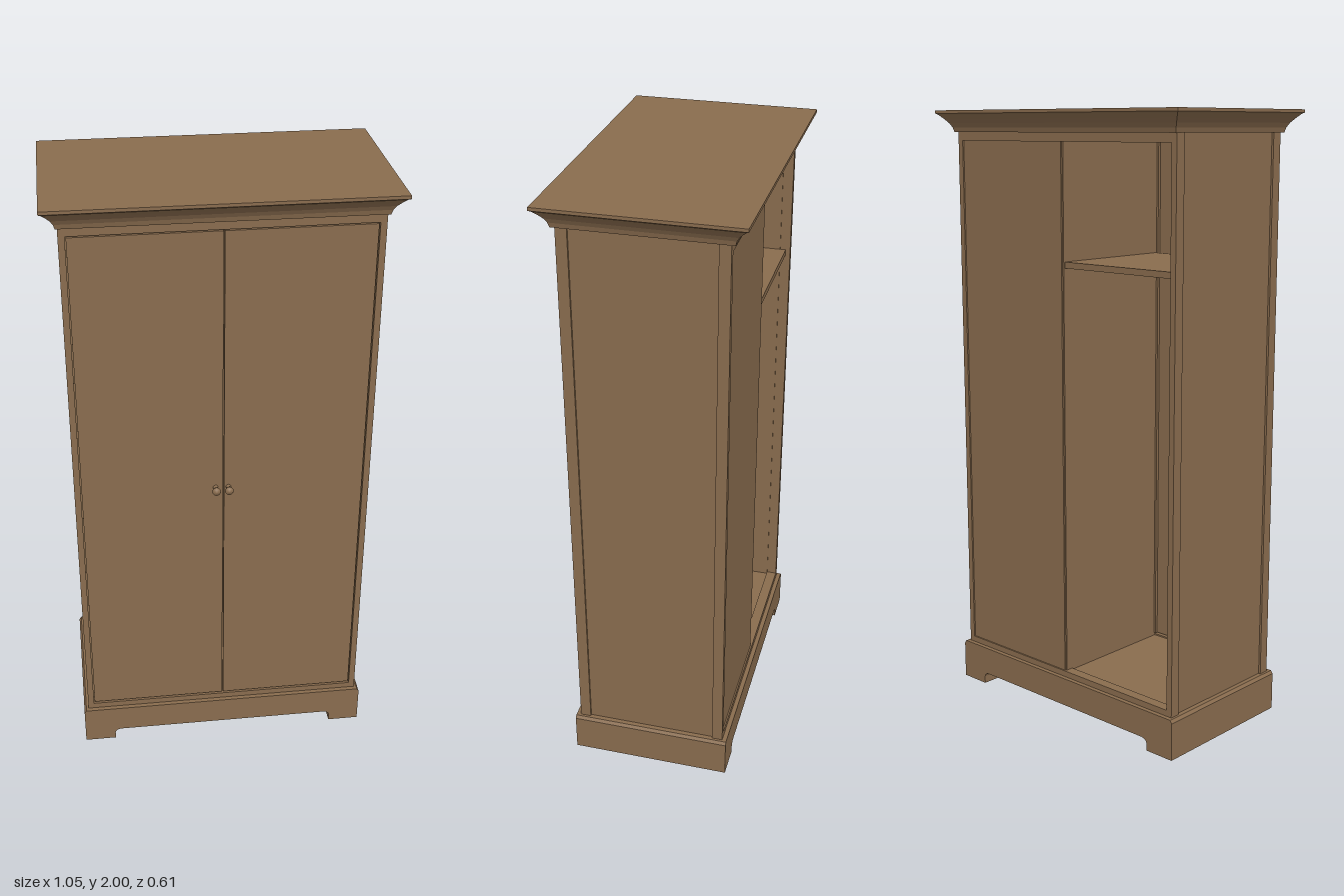
import * as THREE from 'three';

export function createModel() {
  const root = new THREE.Group();
  root.name = 'wardrobe';
  const wood = new THREE.MeshStandardMaterial({ color: 0x896c4e });
  wood.name = 'brown wood';

  const add = (name, geometry) => {
    const mesh = new THREE.Mesh(geometry, wood);
    mesh.name = name;
    root.add(mesh);
    return mesh;
  };
  // Box given by its lower and upper limits on each axis
  const box = (name, x0, x1, y0, y1, z0, z1) => {
    const mesh = add(name, new THREE.BoxGeometry(x1 - x0, y1 - y0, z1 - z0));
    mesh.position.set((x0 + x1) / 2, (y0 + y1) / 2, (z0 + z1) / 2);
    return mesh;
  };

  // Plinth: a bracket-foot outline carried through the full depth
  const foot = new THREE.Shape();
  foot.moveTo(-0.49, 0);
  foot.lineTo(-0.385, 0);
  foot.lineTo(-0.385, 0.025);
  foot.quadraticCurveTo(-0.383, 0.038, -0.365, 0.04);
  foot.lineTo(0.365, 0.04);
  foot.quadraticCurveTo(0.383, 0.038, 0.385, 0.025);
  foot.lineTo(0.385, 0);
  foot.lineTo(0.49, 0);
  foot.lineTo(0.49, 0.125);
  foot.lineTo(0.483, 0.135);
  foot.lineTo(-0.483, 0.135);
  foot.lineTo(-0.49, 0.125);
  const plinth = new THREE.ExtrudeGeometry(foot, { depth: 0.53, bevelEnabled: false, curveSegments: 4 });
  plinth.translate(0, 0, -0.265);
  add('plinth', plinth);

  // Carcass: corner posts, inset side panels, rails, floor and ceiling
  for (const s of [-1, 1]) {
    const sideBox = (name, a, b, ...rest) => box(name, Math.min(s * a, s * b), Math.max(s * a, s * b), ...rest);
    sideBox('frontPost', 0.455, 0.475, 0.13, 1.935, 0.215, 0.25);
    sideBox('backPost', 0.455, 0.475, 0.13, 1.935, -0.25, -0.215);
    sideBox('sidePanel', 0.452, 0.468, 0.13, 1.935, -0.216, 0.216);
    // Doors set just behind the frame, with a narrow centre gap
    sideBox('door', 0.002, 0.452, 0.16, 1.897, 0.215, 0.247);
  }
  for (const [name, z0, z1] of [['front', 0.21, 0.25], ['back', -0.25, -0.215]]) {
    box(name + 'TopRail', -0.455, 0.455, 1.902, 1.935, z0, z1);
    box(name + 'BottomRail', -0.455, 0.455, 0.13, 0.155, z0, z1);
  }
  box('floor', -0.455, 0.455, 0.13, 0.15, -0.22, 0.22);
  box('ceiling', -0.455, 0.455, 1.905, 1.935, -0.22, 0.22);

  // Interior divider, shelf of the open half, and half back panel
  box('divider', -0.005, 0.013, 0.15, 1.905, -0.24, 0.214);
  box('shelf', -0.453, -0.005, 1.51, 1.53, -0.235, 0.2);
  box('backPanel', 0.0, 0.456, 0.155, 1.902, -0.245, -0.23);
  box('doorStop', -0.012, 0.012, 0.16, 1.897, 0.205, 0.235);

  // Cornice: rectangular rings following a cove profile [overhang, height]
  const profile = [[-0.02, 1.93], [0.008, 1.93], [0.012, 1.945], [0.02, 1.959], [0.032, 1.973],
    [0.045, 1.986], [0.052, 1.99], [0.052, 2]];
  const positions = [];
  const corner = (i, k) => {
    const [o, y] = profile[i];
    const sx = [1, 1, -1, -1][k % 4], sz = [1, -1, -1, 1][k % 4];
    return [sx * (0.473 + o), y, sz * (0.254 + o)];
  };
  const quad = (a, b, c, d) => positions.push(...a, ...b, ...c, ...a, ...c, ...d);
  for (let i = 0; i < profile.length - 1; i++) {
    for (let k = 0; k < 4; k++) quad(corner(i, k), corner(i, k + 1), corner(i + 1, k + 1), corner(i + 1, k));
  }
  const top = profile.length - 1;
  quad(corner(top, 0), corner(top, 1), corner(top, 2), corner(top, 3));
  quad(corner(0, 3), corner(0, 2), corner(0, 1), corner(0, 0));
  const cornice = new THREE.BufferGeometry();
  cornice.setAttribute('position', new THREE.Float32BufferAttribute(positions, 3));
  cornice.computeVertexNormals();
  add('cornice', cornice);

  // Turned door knobs
  const knobProfile = [[0.009, 0], [0.006, 0.006], [0.005, 0.015], [0.012, 0.021], [0.014, 0.027],
    [0.011, 0.034], [0, 0.037]].map(([r, y]) => new THREE.Vector2(r, y));
  const knob = new THREE.LatheGeometry(knobProfile, 16);
  knob.rotateX(Math.PI / 2);
  for (const x of [-0.025, 0.016]) add('doorKnob', knob).position.set(x, 1.025, 0.246);

  return root;
}
